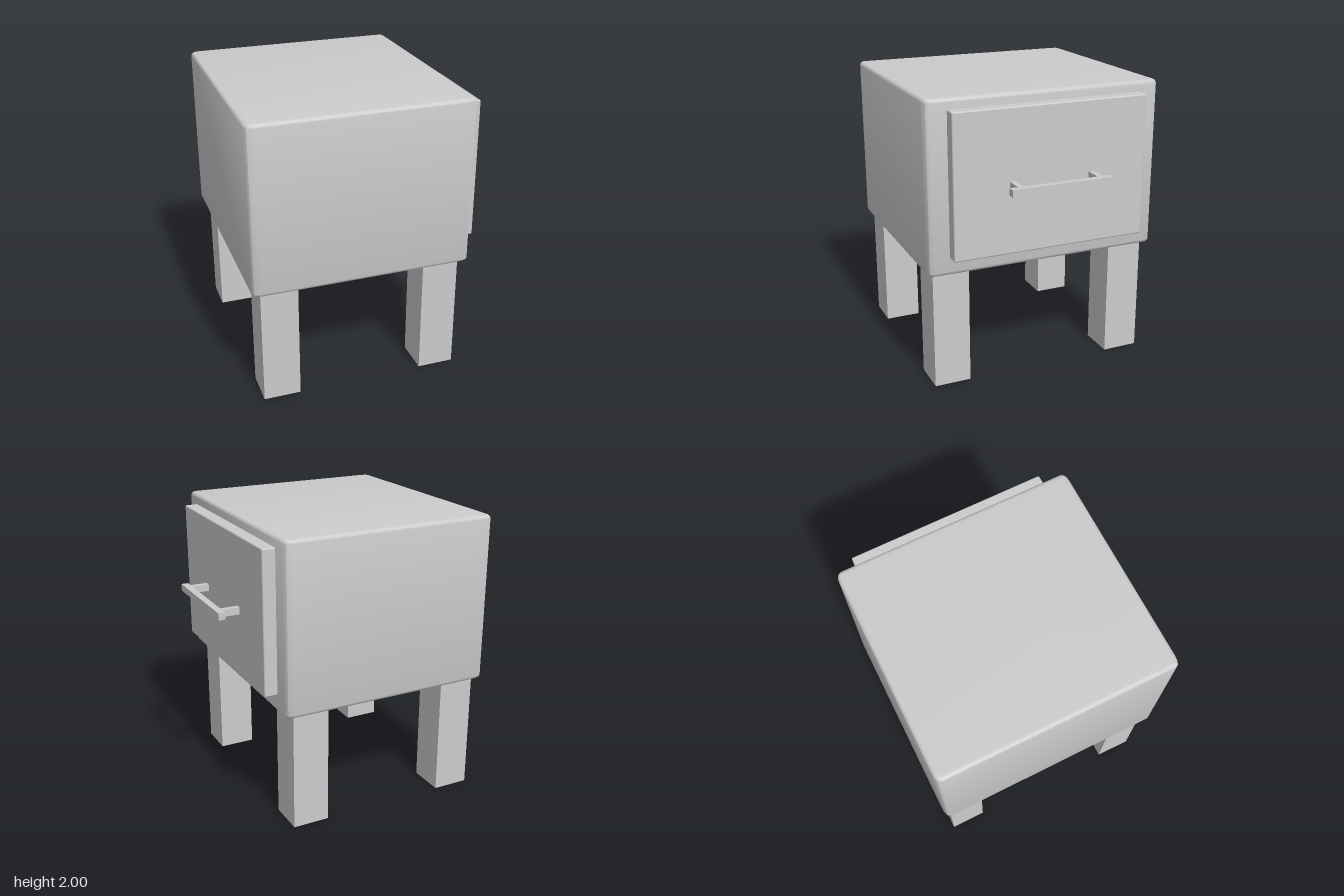
import * as THREE from 'three';
import { RoundedBoxGeometry } from 'three/addons/geometries/RoundedBoxGeometry.js';
import { toCreasedNormals } from 'three/addons/utils/BufferGeometryUtils.js';

const material = new THREE.MeshStandardMaterial({ color: 0xcccccc });

function addMesh(parent, name, geometry, x, y, z) {
  const mesh = new THREE.Mesh(geometry, material);
  mesh.name = name;
  mesh.position.set(x, y, z);
  parent.add(mesh);
  return mesh;
}

// Box given by its lowest and highest corner
function addBox(parent, name, [x0, y0, z0], [x1, y1, z1]) {
  const geometry = new THREE.BoxGeometry(x1 - x0, y1 - y0, z1 - z0);
  return addMesh(parent, name, geometry, (x0 + x1) / 2, (y0 + y1) / 2, (z0 + z1) / 2);
}

// Cabinet block: plan outline with shallow rounded corners, bevelled top and bottom
function cabinetGeometry(width, height, depth) {
  const bevel = 0.025, cx = 0.05, cz = 0.018;
  const w = width / 2 - bevel, d = depth / 2 - bevel;
  const shape = new THREE.Shape();
  shape.moveTo(-w + cx, -d);
  shape.lineTo(w - cx, -d);
  shape.quadraticCurveTo(w, -d, w, -d + cz);
  shape.lineTo(w, d - cz);
  shape.quadraticCurveTo(w, d, w - cx, d);
  shape.lineTo(-w + cx, d);
  shape.quadraticCurveTo(-w, d, -w, d - cz);
  shape.lineTo(-w, -d + cz);
  shape.quadraticCurveTo(-w, -d, -w + cx, -d);
  const geometry = new THREE.ExtrudeGeometry(shape, {
    depth: height - 2 * bevel, curveSegments: 3,
    bevelSize: bevel, bevelThickness: bevel, bevelSegments: 3,
  });
  geometry.translate(0, 0, bevel - height / 2).rotateX(-Math.PI / 2);
  return toCreasedNormals(geometry, 0.7);
}

export function createModel() {
  const model = new THREE.Group();
  model.name = 'nightstand';

  addMesh(model, 'cabinet', cabinetGeometry(1.52, 1.17, 1.664), -0.13, 1.415, 0);

  // Four square legs
  for (const x of [-0.83, 0.31])
    for (const z of [-0.785, 0.53])
      addBox(model, 'leg', [x, 0, z], [x + 0.255, 0.85, z + 0.255]);

  // Drawer front on the +x side
  addMesh(model, 'drawerFront', new RoundedBoxGeometry(0.095, 0.98, 1.375, 2, 0.01), 0.672, 1.44, -0.002);

  // Bar handle on two posts
  const handle = new THREE.Group();
  handle.name = 'handle';
  model.add(handle);
  addBox(handle, 'handleBar', [0.84, 1.397, -0.36], [0.888, 1.445, 0.356]);
  for (const z of [-0.287, 0.28])
    addBox(handle, 'handlePost', [0.71, 1.397, z - 0.02], [0.84, 1.445, z + 0.02]);

  return model;
}
